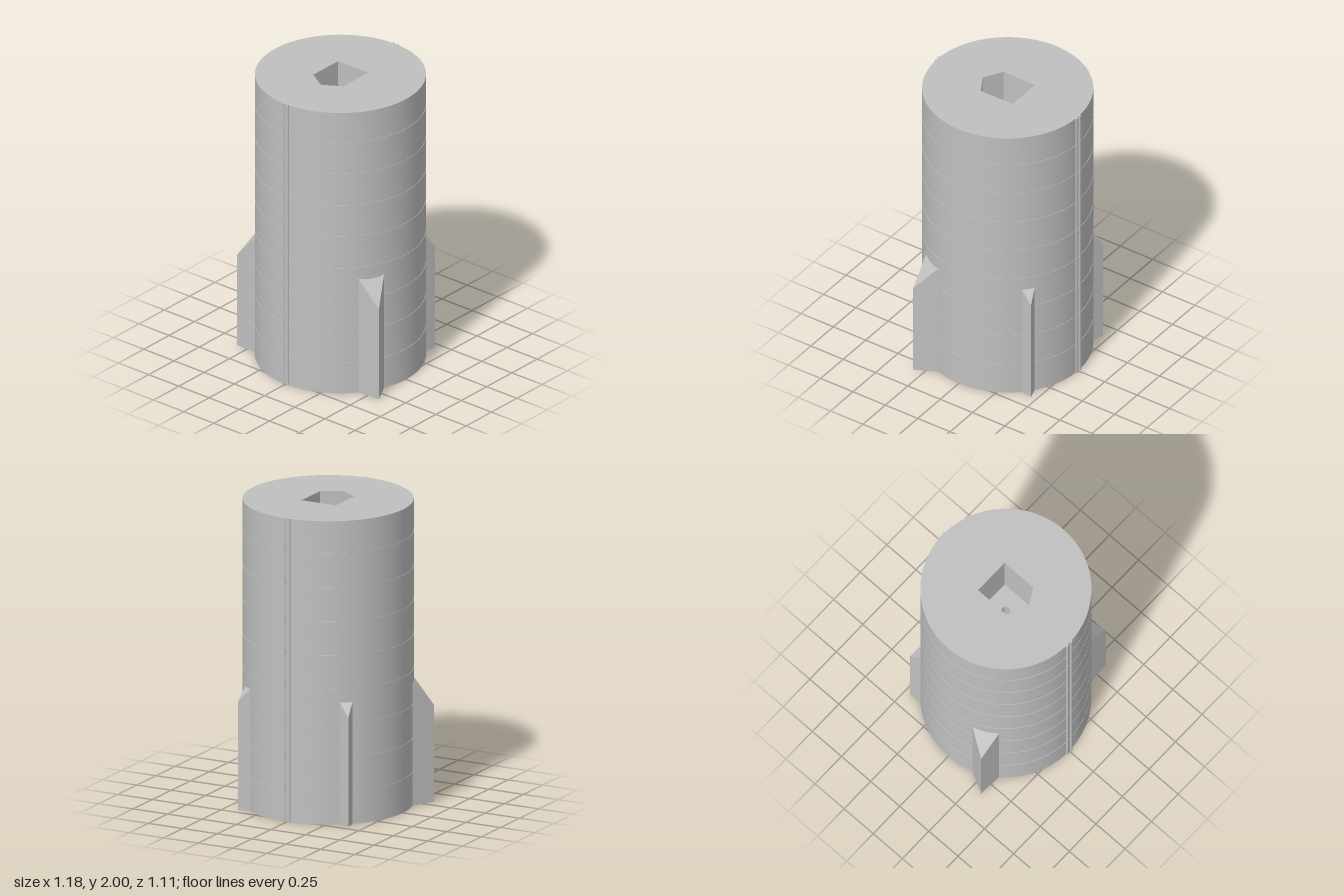
import * as THREE from 'three';
import { toCreasedNormals } from 'three/addons/utils/BufferGeometryUtils.js';

const R = 0.543, CORE = 0.535, H = 2, POCKET = 0.4;
const grey = new THREE.MeshStandardMaterial({ color: 0xc0c0c0 });
grey.name = 'plain grey';

function add(parent, name, geometry) {
  const mesh = new THREE.Mesh(geometry, grey);
  mesh.name = name;
  parent.add(mesh);
  return mesh;
}

// Extrude a plan outline (x, z) upward from y0 to y1
function extrudeUp(shape, y0, y1) {
  const g = new THREE.ExtrudeGeometry(shape, { depth: y1 - y0, bevelEnabled: false, curveSegments: 48 });
  return g.rotateX(-Math.PI / 2).translate(0, y0, 0);
}

const plan = (points) => points.map(([x, z]) => new THREE.Vector2(x, -z));

// Solid disc with one hole
function disc(hole) {
  const shape = new THREE.Shape().absarc(0, 0, CORE, 0, Math.PI * 2, false);
  shape.holes.push(hole);
  return shape;
}

// Three-sided fin whose tip slopes down from the body
function finGeometry(tip, a, b, top, tipTop) {
  const g = extrudeUp(new THREE.Shape(plan([tip, a, b])), 0, top);
  const p = g.attributes.position;
  for (let i = 0; i < p.count; i++) {
    const atTip = Math.hypot(p.getX(i) - tip[0], p.getZ(i) - tip[1]) < 1e-4;
    if (atTip && p.getY(i) > 0.1) p.setY(i, tipTop);
  }
  g.computeVertexNormals();
  return g;
}

export function createModel() {
  const model = new THREE.Group();
  model.name = 'finnedCylinder';

  // Outer skin with eight fine grooves
  const profile = [[CORE, 0], [R, 0]];
  for (let i = 1; i <= 8; i++) {
    const y = i * 0.2243;
    profile.push([R, y - 0.005], [R - 0.003, y - 0.005], [R - 0.003, y + 0.005], [R, y + 0.005]);
  }
  profile.push([R, H], [CORE, H]);
  const skin = new THREE.LatheGeometry(profile.map(([x, y]) => new THREE.Vector2(x, y)), 96);
  add(model, 'groovedSkin', toCreasedNormals(skin, 0.5));

  // Core: five-sided pocket at each end, joined by a web with a small bore
  const pocket = new THREE.Path(plan([
    [-0.125, -0.125], [0.125, -0.125], [0.125, 0.12], [0, 0.195], [-0.125, 0.12],
  ]));
  const bore = new THREE.Path().absarc(0, 0, 0.027, 0, Math.PI * 2, true);
  add(model, 'bottomPocketBlock', extrudeUp(disc(pocket), 0, POCKET));
  add(model, 'boredWeb', toCreasedNormals(extrudeUp(disc(bore), POCKET, H - POCKET), 0.5));
  add(model, 'topPocketBlock', extrudeUp(disc(pocket), H - POCKET, H));

  // Pairs of thin ribs down the front and back
  for (const z of [-1, 1]) {
    for (const x of [-1, 1]) {
      const rib = add(model, 'seamRib', new THREE.CylinderGeometry(0.01, 0.01, H, 16));
      rib.position.set(x * 0.017, H / 2, z * 0.5425);
    }
  }

  // Large front fins and small back fins, mirrored
  for (const s of [-1, 1]) {
    add(model, 'frontFin', finGeometry([s * 0.588, 0.323], [s * 0.512, 0.18], [s * 0.428, 0.333], 0.81, 0.64));
    add(model, 'backFin', finGeometry([s * 0.4, -0.458], [s * 0.325, -0.434], [s * 0.388, -0.379], 0.805, 0.72));
  }
  return model;
}
